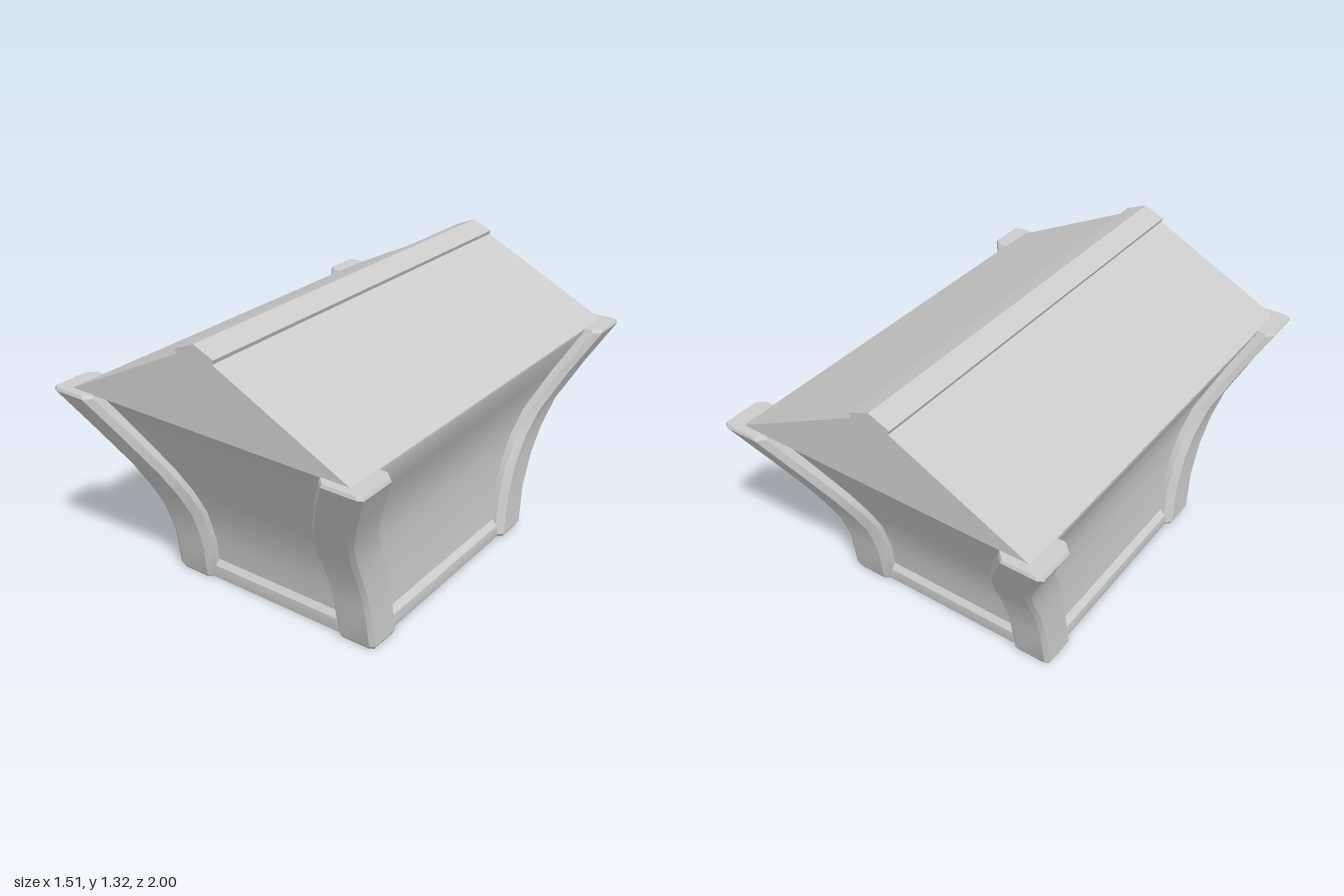
import * as THREE from 'three';
import { toCreasedNormals } from 'three/addons/utils/BufferGeometryUtils.js';

const mat = new THREE.MeshStandardMaterial({ color: 0xcccccc });

// Closed skin over rings of [x, y, z] corners, listed counterclockwise from above
function loft(rings, crease) {
  const n = rings[0].length;
  const index = [];
  for (let r = 0; r < rings.length - 1; r++) {
    for (let i = 0; i < n; i++) {
      const a = r * n + i, b = r * n + (i + 1) % n;
      index.push(a, b, b + n, a, b + n, a + n);
    }
  }
  const cap = (ring) => THREE.ShapeUtils.triangulateShape(
    ring.map(([x, , z]) => new THREE.Vector2(x, -z)), []);
  const last = (rings.length - 1) * n;
  cap(rings[0]).forEach(([a, b, c]) => index.push(a, c, b));
  cap(rings[rings.length - 1]).forEach(([a, b, c]) => index.push(last + a, last + b, last + c));
  const geo = new THREE.BufferGeometry();
  geo.setAttribute('position', new THREE.Float32BufferAttribute(rings.flat(2), 3));
  geo.setIndex(index);
  return toCreasedNormals(geo, crease);
}

function add(group, name, geo) {
  const mesh = new THREE.Mesh(geo, mat);
  mesh.name = name;
  group.add(mesh);
}

// Flare: height, outer x, outer z, inner x edge and inner z edge of a post
const flare = [
  [0.02, 0.53, 0.605, 0.33, 0.42],
  [0.2, 0.525, 0.63, 0.323, 0.445],
  [0.36, 0.53, 0.682, 0.32, 0.485],
  [0.48, 0.542, 0.742, 0.33, 0.54],
  [0.6, 0.57, 0.805, 0.365, 0.605],
  [0.78, 0.657, 0.904, 0.452, 0.695],
  [0.955, 0.753, 1.0, 0.55, 0.795],
];

// L-shaped section with chamfered arm ends and a narrow corner bevel
function postRing([y, X, Z, xi, zi], sx, sz) {
  const c = 0.032, d = 0.12;
  const pts = [
    [xi, Z - d], [xi, Z - c], [xi + c, Z], [X - 0.022, Z],
    [X, Z - 0.012], [X, zi + c], [X - c, zi], [X - d, zi], [X - d, Z - d],
  ].map(([x, z]) => [x * sx, y, z * sz]);
  return sx * sz < 0 ? pts.reverse() : pts;
}

const rectRing = (y, x, z) => [[-x, y, z], [x, y, z], [x, y, -z], [-x, y, -z]];

export function createModel() {
  const model = new THREE.Group();

  // Flared walls, recessed behind the posts and a little deeper towards the top
  const walls = flare.map(([y, X, Z]) => {
    const recess = 0.05 + 0.025 * y;
    return rectRing(y, X - recess, Z - recess);
  });
  walls.push(rectRing(0.967, 0.679, 0.94));
  add(model, 'flaredWalls', loft(walls, 0.6));

  // Sill around the foot
  add(model, 'sill', loft([
    rectRing(0, 0.5, 0.578), rectRing(0.03, 0.505, 0.583),
    rectRing(0.065, 0.502, 0.583), rectRing(0.09, 0.476, 0.565),
  ], 0.6));

  // Corner posts with bevelled foot and head
  const [foot, head] = [flare[0], flare[flare.length - 1]];
  const rows = [
    [0, foot[1] - 0.012, foot[2] - 0.01, foot[3] + 0.006, foot[4] + 0.006],
    ...flare,
    [0.968, head[1] - 0.005, head[2] - 0.005, head[3] + 0.004, head[4] + 0.004],
  ];
  const posts = new THREE.Group();
  posts.name = 'cornerPosts';
  for (const sx of [1, -1]) {
    for (const sz of [1, -1]) {
      const name = (sz > 0 ? 'front' : 'back') + (sx > 0 ? 'Left' : 'Right') + 'Post';
      add(posts, name, loft(rows.map((row) => postRing(row, sx, sz)), 0.4));
    }
  }
  model.add(posts);

  // Gabled roof with raised ridge cap
  const half = [[0.68, 0.966], [0.085, 1.258], [0.092, 1.276]];
  const outline = [...half, [0, 1.315], ...half.map(([x, y]) => [-x, y]).reverse()];
  const shape = new THREE.Shape(outline.map(([x, y]) => new THREE.Vector2(x, y)));
  const roof = new THREE.ExtrudeGeometry(shape, { depth: 1.92, bevelEnabled: false });
  roof.translate(0, 0, -0.96);
  add(model, 'gabledRoof', roof);

  return model;
}
